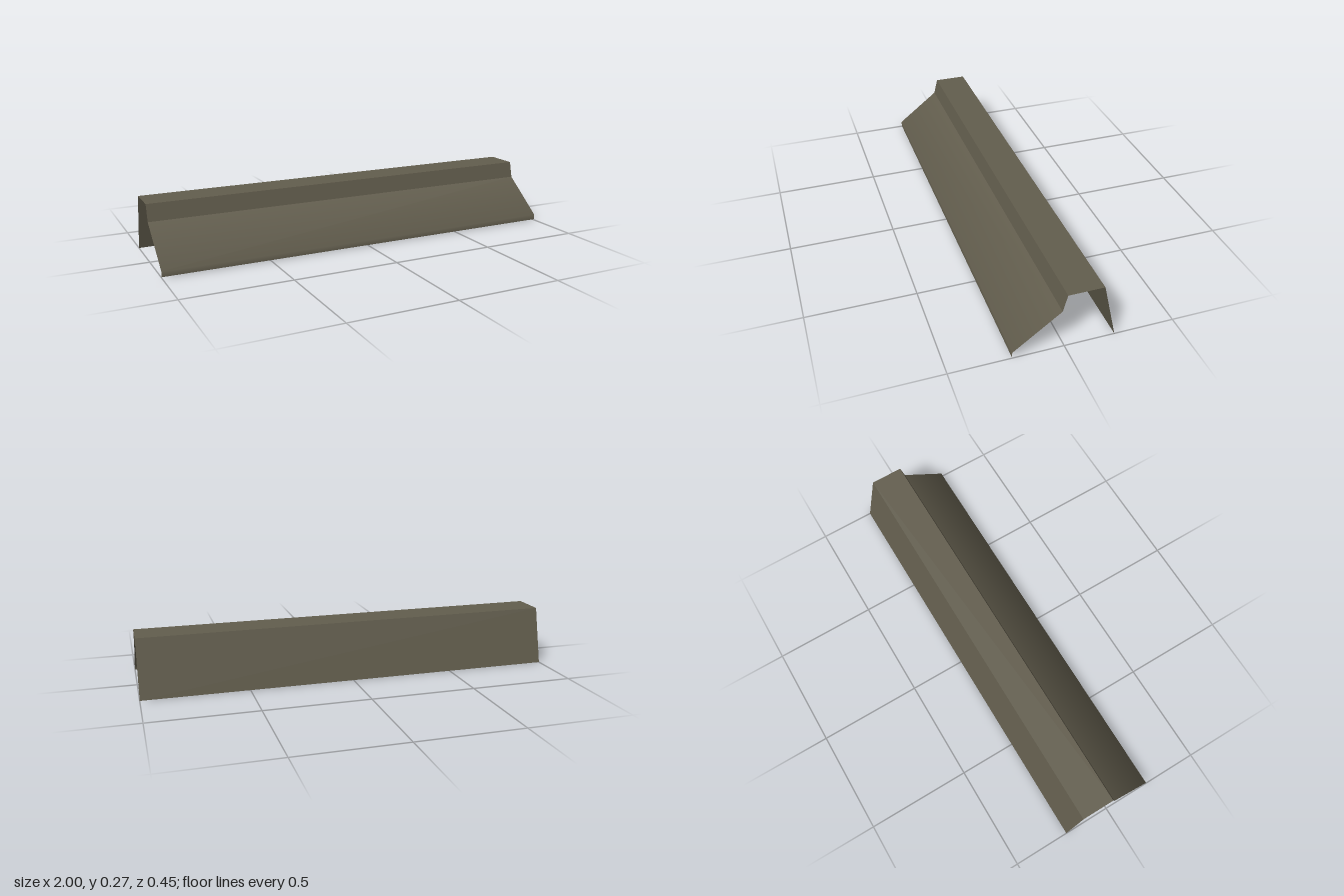
import * as THREE from 'three';

// Sheet swept along x through [z, y] points; normals are averaged at inner folds.
function panel(name, points, material) {
  const n = points.slice(1).map(([z, y], i) =>
    new THREE.Vector2(y - points[i][1], points[i][0] - z).normalize());
  const pos = [], nor = [], idx = [];
  points.forEach(([z, y], i) => {
    const v = (n[i - 1] ?? n[i]).clone().add(n[i] ?? n[i - 1]).normalize();
    for (const x of [-1, 1]) {
      pos.push(x, y, z);
      nor.push(0, v.y, v.x);
    }
    if (i < points.length - 1) {
      const a = i * 2;
      idx.push(a, a + 1, a + 3, a, a + 3, a + 2);
    }
  });
  const g = new THREE.BufferGeometry();
  g.setAttribute('position', new THREE.Float32BufferAttribute(pos, 3));
  g.setAttribute('normal', new THREE.Float32BufferAttribute(nor, 3));
  g.setIndex(idx);
  const mesh = new THREE.Mesh(g, material);
  mesh.name = name;
  return mesh;
}

export function createModel() {
  const group = new THREE.Group();
  group.name = 'foldedCover';
  const olive = new THREE.MeshStandardMaterial({ color: 0x625d4d, side: THREE.DoubleSide });
  olive.name = 'dull olive';

  const lipBottom = [0.228, 0.004], lipTop = [0.227, 0.03], fold = [0.017, 0.193];
  const topFront = [-0.002, 0.272], topBack = [-0.162, 0.272], backBottom = [-0.227, 0];

  group.add(
    panel('frontSlopeAndLip', [lipBottom, lipTop, fold], olive), // softly bent lip
    panel('upperFrontWall', [fold, topFront], olive),
    panel('topPanel', [topFront, topBack], olive),
    panel('backWall', [topBack, backBottom], olive),
  );
  return group;
}
